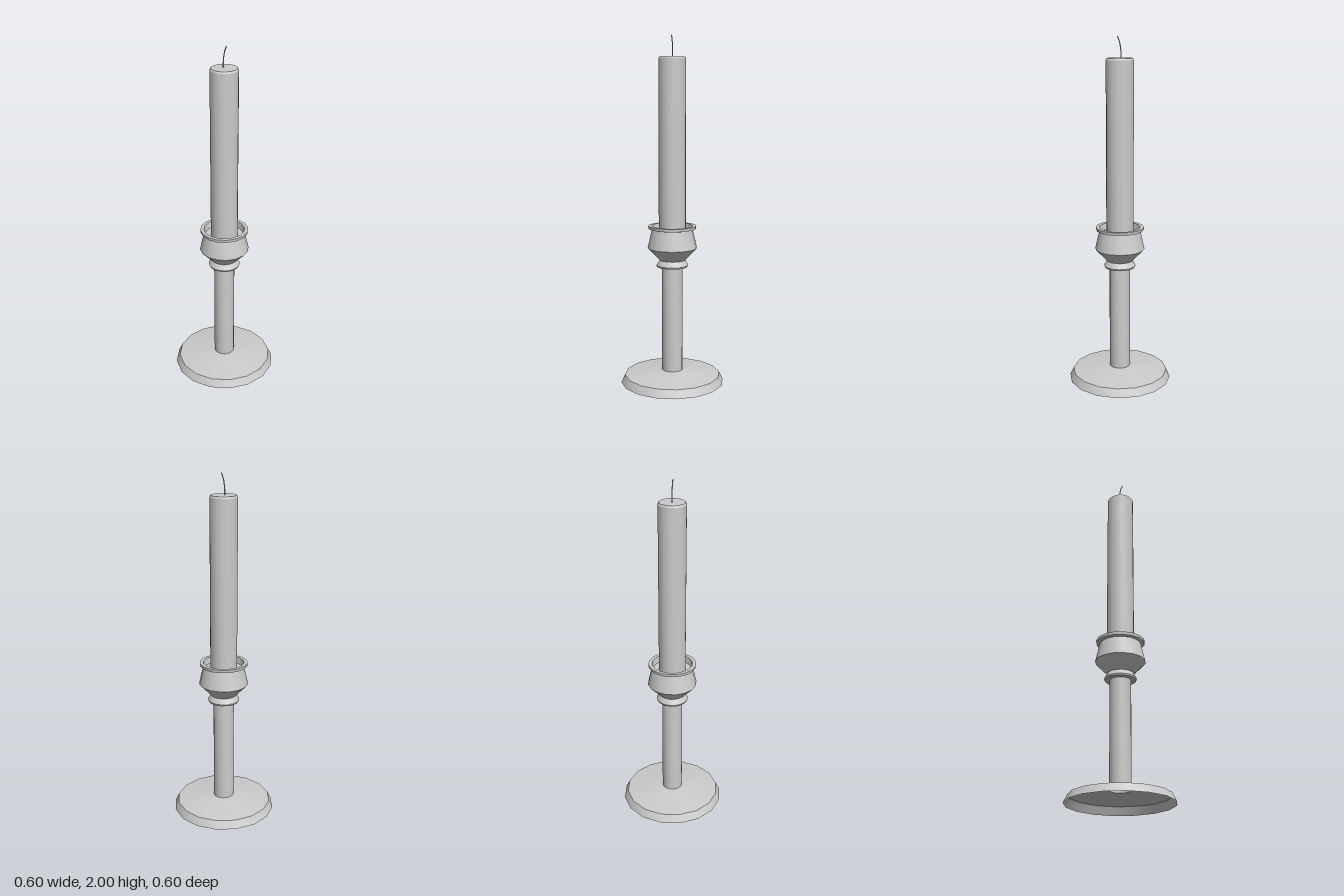
import * as THREE from 'three';
import { toCreasedNormals } from 'three/addons/utils/BufferGeometryUtils.js';

const SIDES = 16;

export function createModel() {
  const group = new THREE.Group();
  const solid = new THREE.MeshStandardMaterial({ color: 0xcccccc });
  const shell = new THREE.MeshStandardMaterial({ color: 0xcccccc, side: THREE.DoubleSide });

  function add(name, geometry, material) {
    const mesh = new THREE.Mesh(geometry, material);
    mesh.name = name;
    group.add(mesh);
  }

  // Turned part: smooth around, sharp at the profile corners
  function turn(name, profile, material) {
    const points = profile.map(([r, y]) => new THREE.Vector2(r, y));
    add(name, toCreasedNormals(new THREE.LatheGeometry(points, SIDES), 0.5), material);
  }

  // Hollow foot, open underneath
  turn('base', [[0.3, 0], [0.278, 0.046], [0.06, 0.072]], shell);

  // Hollow stem
  turn('stem', [[0.06, 0.072], [0.06, 0.687]], shell);

  // Collar, cup and flanged rim with a recessed floor
  turn('candleCup', [
    [0.06, 0.687], [0.088, 0.687], [0.092, 0.697], [0.074, 0.727],
    [0.143, 0.798], [0.118, 0.906], [0.137, 0.91], [0.139, 0.927],
    [0.118, 0.927], [0.112, 0.89], [0.07, 0.89],
  ], shell);

  // Candle with a narrow bevel at the top
  turn('candle', [[0, 0.88], [0.078, 0.88], [0.078, 1.872], [0.072, 1.882], [0, 1.882]], solid);

  // Bent wick
  const bend = new THREE.CatmullRomCurve3([
    new THREE.Vector3(-0.007, 1.875, 0),
    new THREE.Vector3(-0.006, 1.92, 0),
    new THREE.Vector3(0.001, 1.965, 0),
    new THREE.Vector3(0.014, 1.999, 0),
  ]);
  add('wick', new THREE.TubeGeometry(bend, 8, 0.003, 6), shell);

  return group;
}
